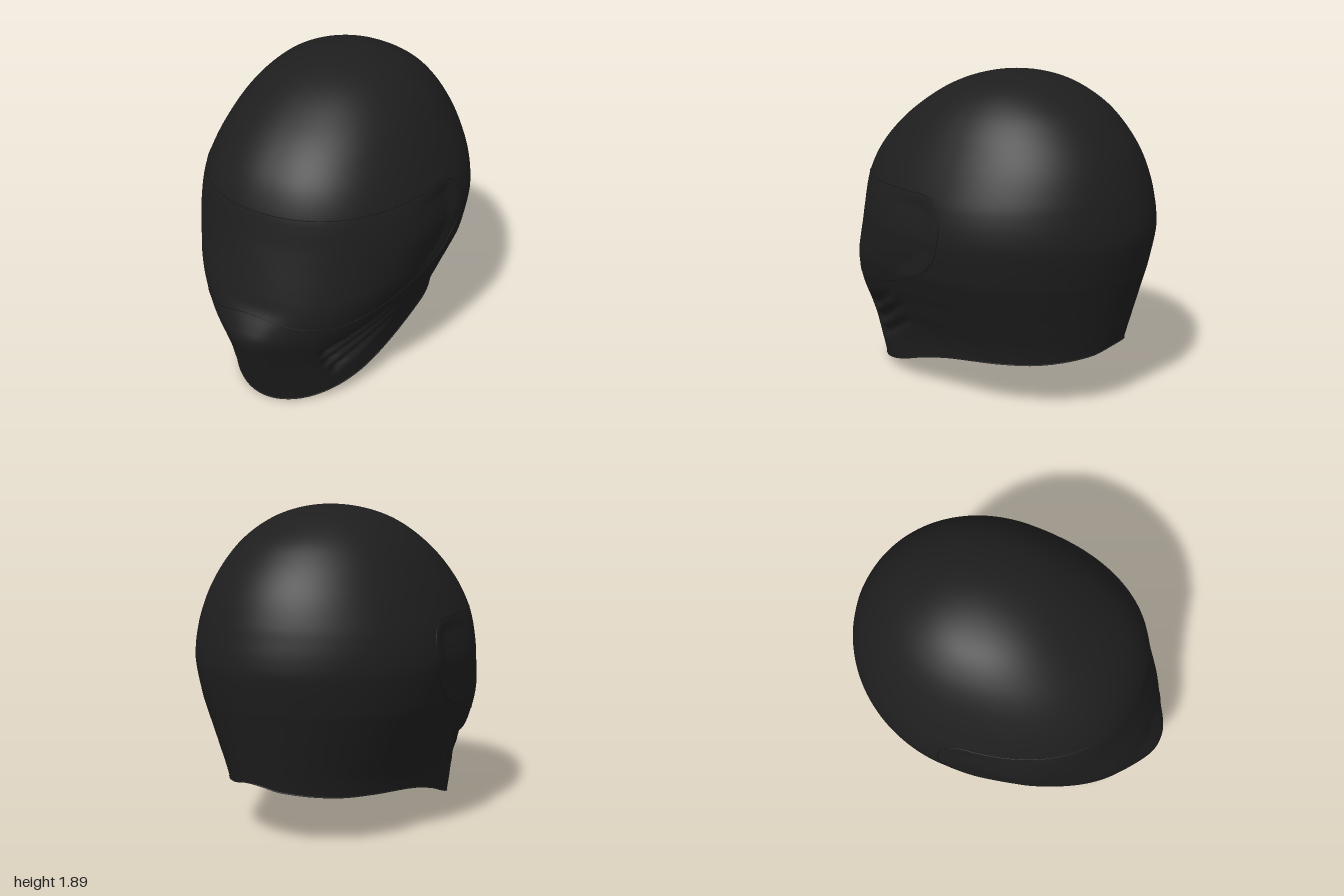
import * as THREE from 'three';

const TOP = 1.89, MID = -0.16; // crown height, z of the widest section

// Horizontal sections: height, front z, back z, half width, chin ridge
const SECTIONS = [
  [0, 0.805, -0.76, 0.525, 0], [0.2, 0.865, -0.81, 0.536, 0.015], [0.3, 0.883, -0.835, 0.55, 0.035],
  [0.4, 0.905, -0.86, 0.577, 0.052], [0.5, 0.926, -0.885, 0.617, 0.069], [0.55, 0.932, -0.897, 0.637, 0.066],
  [0.6, 0.931, -0.91, 0.657, 0.046], [0.64, 0.928, -0.92, 0.674, 0.029], [0.68, 0.923, -0.93, 0.69, 0.012],
  [0.72, 0.916, -0.94, 0.706, 0],
  [0.8, 0.897, -0.96, 0.735, 0], [1.0, 0.845, -0.997, 0.77, 0], [1.1, 0.818, -0.992, 0.766, 0],
  [1.2, 0.796, -0.972, 0.746, 0], [1.27, 0.778, -0.955, 0.722, 0], [1.4, 0.718, -0.908, 0.665, 0],
  [1.5, 0.645, -0.855, 0.613, 0], [1.6, 0.545, -0.782, 0.553, 0], [1.7, 0.415, -0.684, 0.472, 0],
  [1.8, 0.245, -0.525, 0.35, 0], [1.85, 0.115, -0.41, 0.24, 0], [TOP, -0.16, -0.16, 0, 0],
];
const KNOTS = SECTIONS.map(([y, ...rest]) => [Math.asin(y / TOP), ...rest]);

// Fullness of the front half by height: lower is squarer
const FULLNESS = [[0, 1.04], [0.2, 1.02], [0.35, 0.93], [0.5, 0.88], [0.7, 0.85], [0.85, 0.91],
  [1.0, 0.96], [1.2, 0.91], [1.35, 0.88], [1.6, 0.91], [1.89, 0.95]];

// Bottom rim: z, height
const RIM = [[-0.9, 0.4], [-0.85, 0.36], [-0.8, 0.328], [-0.6, 0.295], [-0.4, 0.286], [-0.2, 0.273],
  [0, 0.24], [0.2, 0.183], [0.4, 0.108], [0.6, 0.045], [0.8, 0], [1, 0]];

// Visor outline on one side: z, height, from chin centre round to brow centre
const VISOR = [[2, 0.685], [0.87, 0.635], [0.73, 0.605], [0.6, 0.62], [0.4, 0.665], [0.1, 0.76], [-0.03, 0.83],
  [-0.12, 0.93], [-0.16, 1.06], [-0.155, 1.15], [-0.12, 1.22], [-0.05, 1.262], [0.1, 1.272], [0.5, 1.268], [2, 1.262]];

// Cheek vents: start z, y and end z, y
const VENTS = [[0.71, 0.39, 0.38, 0.57], [0.67, 0.3, 0.27, 0.53], [0.61, 0.22, 0.26, 0.42]];

// Smooth interpolation through a table of rows
function interp(table, x, col) {
  let i = 0;
  while (i < table.length - 2 && x > table[i + 1][0]) i++;
  const slope = (k) => {
    const a = table[Math.max(k - 1, 0)], b = table[Math.min(k + 1, table.length - 1)];
    return (b[col] - a[col]) / (b[0] - a[0]);
  };
  const p = table[i], q = table[i + 1], h = q[0] - p[0];
  const t = Math.min(Math.max((x - p[0]) / h, 0), 1), t2 = t * t, t3 = t2 * t;
  return (2 * t3 - 3 * t2 + 1) * p[col] + (t3 - 2 * t2 + t) * h * slope(i)
    + (3 * t2 - 2 * t3) * q[col] + (t3 - t2) * h * slope(i + 1);
}

// Point on the smooth shell; angle 0 faces the front, +90 degrees is the left
function surface(angle, y) {
  const a = Math.asin(Math.min(y / TOP, 1));
  const c = Math.cos(angle), s = Math.sin(angle);
  const backPower = 1.05 - 0.06 * THREE.MathUtils.smoothstep(y, 1.0, 1.5);
  const depth = c >= 0
    ? (interp(KNOTS, a, 1) - MID) * Math.pow(c, 0.91) + interp(KNOTS, a, 4) * Math.exp(-((angle / 0.27) ** 2))
    : (interp(KNOTS, a, 2) - MID) * Math.pow(-c, backPower);
  const x = Math.sign(s) * Math.pow(Math.abs(s), c >= 0 ? interp(FULLNESS, y, 1) : backPower) * interp(KNOTS, a, 3);
  return new THREE.Vector3(x, y, MID + depth);
}

function rimHeight(angle) {
  let y = 0.2;
  for (let k = 0; k < 15; k++) y = Math.max(interp(RIM, surface(angle, y).z, 1), 0);
  return y + 0.004;
}

// Visor outline as a closed loop of (angle, height)
function visorLoop() {
  const half = VISOR.map(([z, y]) => {
    const front = interp(KNOTS, Math.asin(y / TOP), 1);
    const t = Math.min(Math.max((z - MID) / (front - MID), 0), 1);
    return new THREE.Vector3(Math.acos(Math.pow(t, 1.1)), y, 0);
  });
  const other = half.slice(1, -1).reverse().map((p) => new THREE.Vector3(-p.x, p.y, 0));
  return new THREE.CatmullRomCurve3([...half, ...other], true, 'centripetal').getSpacedPoints(300).slice(0, -1);
}

function inLoop(loop, x, y) {
  let inside = false;
  for (let i = 0, j = loop.length - 1; i < loop.length; j = i++) {
    const a = loop[i], b = loop[j];
    if ((a.y > y) !== (b.y > y) && x < ((b.x - a.x) * (y - a.y)) / (b.y - a.y) + a.x) inside = !inside;
  }
  return inside;
}

// How far the shell is pressed in at the cheek vents
function ventDepth(p) {
  let d = 0.014 * Math.exp(-(((p.z - 0.55) / 0.16) ** 2) - ((p.y - 0.37) / 0.13) ** 2);
  for (const [z0, y0, z1, y1] of VENTS) {
    const dz = z1 - z0, dy = y1 - y0;
    const t = Math.min(Math.max(((p.z - z0) * dz + (p.y - y0) * dy) / (dz * dz + dy * dy), 0), 1);
    const r = Math.hypot(p.z - z0 - t * dz, p.y - y0 - t * dy);
    d += 0.036 * (1 - 0.7 * t) * Math.exp(-((r / 0.028) ** 2));
  }
  return d;
}

// Sets the visor in at its rear end
function visorDepth(loop, angle, p) {
  if (!inLoop(loop, angle, p.y)) return 0;
  let d = 1;
  for (const q of loop) d = Math.min(d, Math.hypot((q.x - angle) * 0.75, q.y - p.y));
  return 0.024 * THREE.MathUtils.smoothstep(d, 0, 0.09) * (1 - THREE.MathUtils.smoothstep(p.z, -0.05, 0.4));
}

function closedTube(points, radius, segments) {
  return new THREE.TubeGeometry(new THREE.CatmullRomCurve3(points, true), segments, radius, 6, true);
}

export function createModel() {
  const group = new THREE.Group();
  const black = new THREE.MeshStandardMaterial({ color: 0x1e1e1e, side: THREE.DoubleSide });
  black.name = 'black shell';
  const dark = new THREE.MeshStandardMaterial({ color: 0x161616 });
  dark.name = 'dark seam';
  const add = (name, geometry, material) => {
    const mesh = new THREE.Mesh(geometry, material);
    mesh.name = name;
    group.add(mesh);
  };

  // Shell grid: columns round the head, rows from rim to crown
  const N = 300, M = 130, loop = visorLoop();
  const positions = new Float32Array(N * (M + 1) * 3), inVisor = [];
  const rim = [];
  for (let i = 0; i < N; i++) {
    const angle = -Math.PI + (2 * Math.PI * (i + 0.5)) / N;
    const low = rimHeight(angle), a0 = Math.asin(low / TOP);
    rim.push(surface(angle, low));
    for (let j = 0; j <= M; j++) {
      const y = TOP * Math.sin(a0 + ((Math.PI / 2 - a0) * j) / M);
      const p = surface(angle, y);
      const d = ventDepth(p) + visorDepth(loop, angle, p);
      p.x -= d * Math.sin(angle);
      p.z -= d * Math.max(Math.cos(angle), 0);
      p.toArray(positions, (j * N + i) * 3);
      inVisor[j * N + i] = inLoop(loop, angle, y);
    }
  }

  // Share the faces between shell and visor
  const shellFaces = [], visorFaces = [];
  for (let j = 0; j < M; j++) {
    for (let i = 0; i < N; i++) {
      const a = j * N + i, b = j * N + ((i + 1) % N), c = a + N, d = b + N;
      (inVisor[a] ? visorFaces : shellFaces).push(a, b, d, a, d, c);
    }
  }
  const whole = new THREE.BufferGeometry();
  whole.setAttribute('position', new THREE.BufferAttribute(positions, 3));
  whole.setIndex([...shellFaces, ...visorFaces]);
  whole.computeVertexNormals();
  const part = (faces) => {
    const g = new THREE.BufferGeometry();
    g.setAttribute('position', whole.getAttribute('position'));
    g.setAttribute('normal', whole.getAttribute('normal'));
    g.setIndex(faces);
    return g;
  };
  add('shell', part(shellFaces), black);
  add('visor', part(visorFaces), black);

  // Seam round the visor and rolled bottom edge
  add('visorSeam', closedTube(loop.map((q) => surface(q.x, q.y)), 0.0025, 400), dark);
  add('bottomEdge', closedTube(rim, 0.004, 300), black);
  return group;
}
